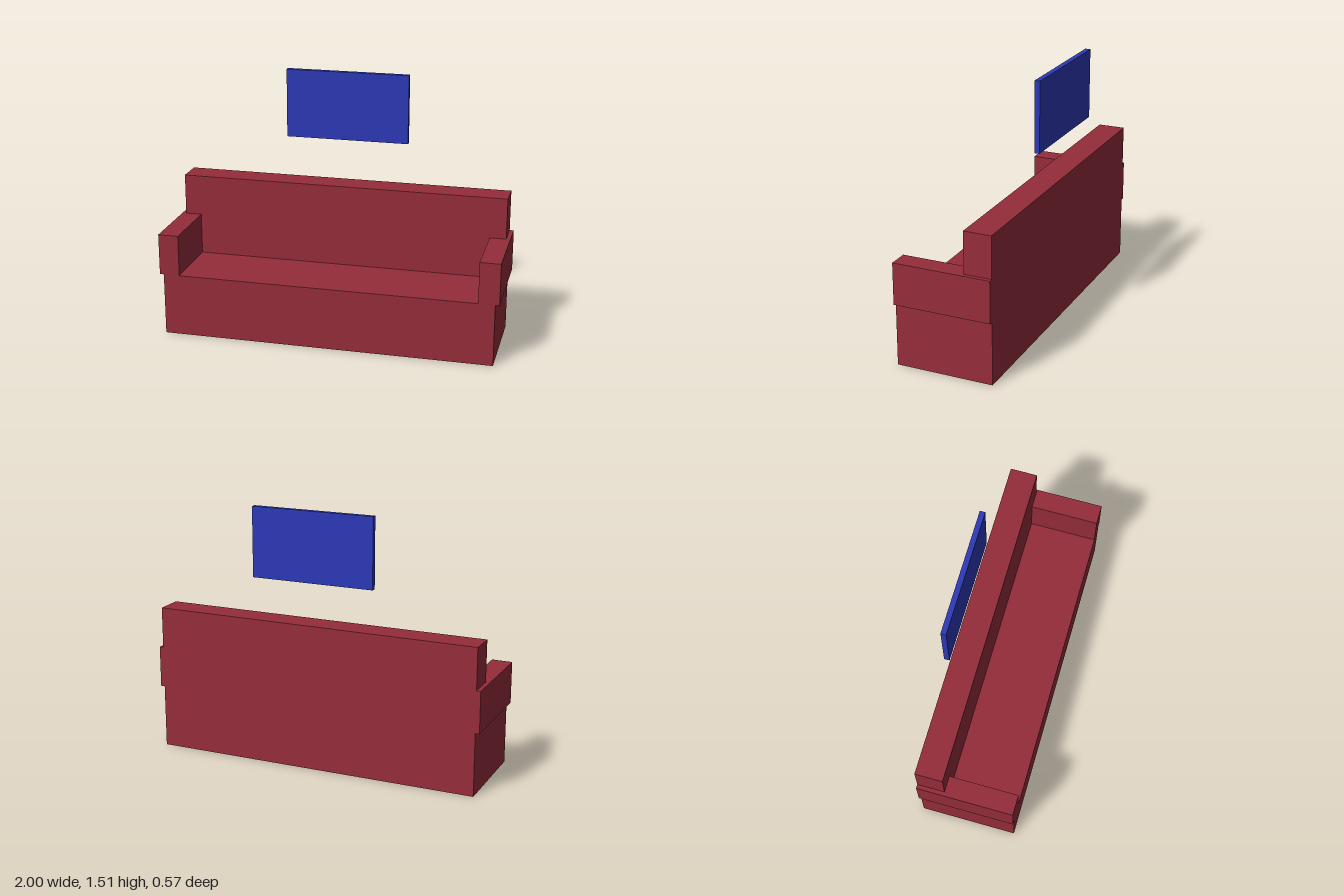
import * as THREE from 'three';

const red = new THREE.MeshStandardMaterial({ color: 0x962d3b });
const blue = new THREE.MeshStandardMaterial({ color: 0x2d39b8 });

// Box given by its lower and upper corners
function block(name, material, [x0, y0, z0], [x1, y1, z1]) {
  const mesh = new THREE.Mesh(new THREE.BoxGeometry(x1 - x0, y1 - y0, z1 - z0), material);
  mesh.position.set((x0 + x1) / 2, (y0 + y1) / 2, (z0 + z1) / 2);
  mesh.name = name;
  return mesh;
}

export function createModel() {
  const model = new THREE.Group();
  model.name = 'sofaWithWallPanel';
  const half = 0.976, depth = 0.286, seatTop = 0.37;

  // Sofa: solid seat base and full-width backrest
  const sofa = new THREE.Group();
  sofa.name = 'sofa';
  sofa.add(block('seatBase', red, [-half, 0, -depth], [half, seatTop, depth]));
  sofa.add(block('backrest', red, [-half, seatTop, -depth], [half, 0.858, -0.124]));

  // Armrests, overhanging the base slightly at each side
  for (const [name, x] of [['leftArmrest', 0.94], ['rightArmrest', -0.94]]) {
    sofa.add(block(name, red, [x - 0.06, seatTop, -depth], [x + 0.06, 0.615, depth]));
  }

  // Thin panel hanging above the backrest
  model.add(sofa, block('wallPanel', blue, [-0.367, 1.106, -depth], [0.365, 1.514, -0.255]));
  return model;
}
